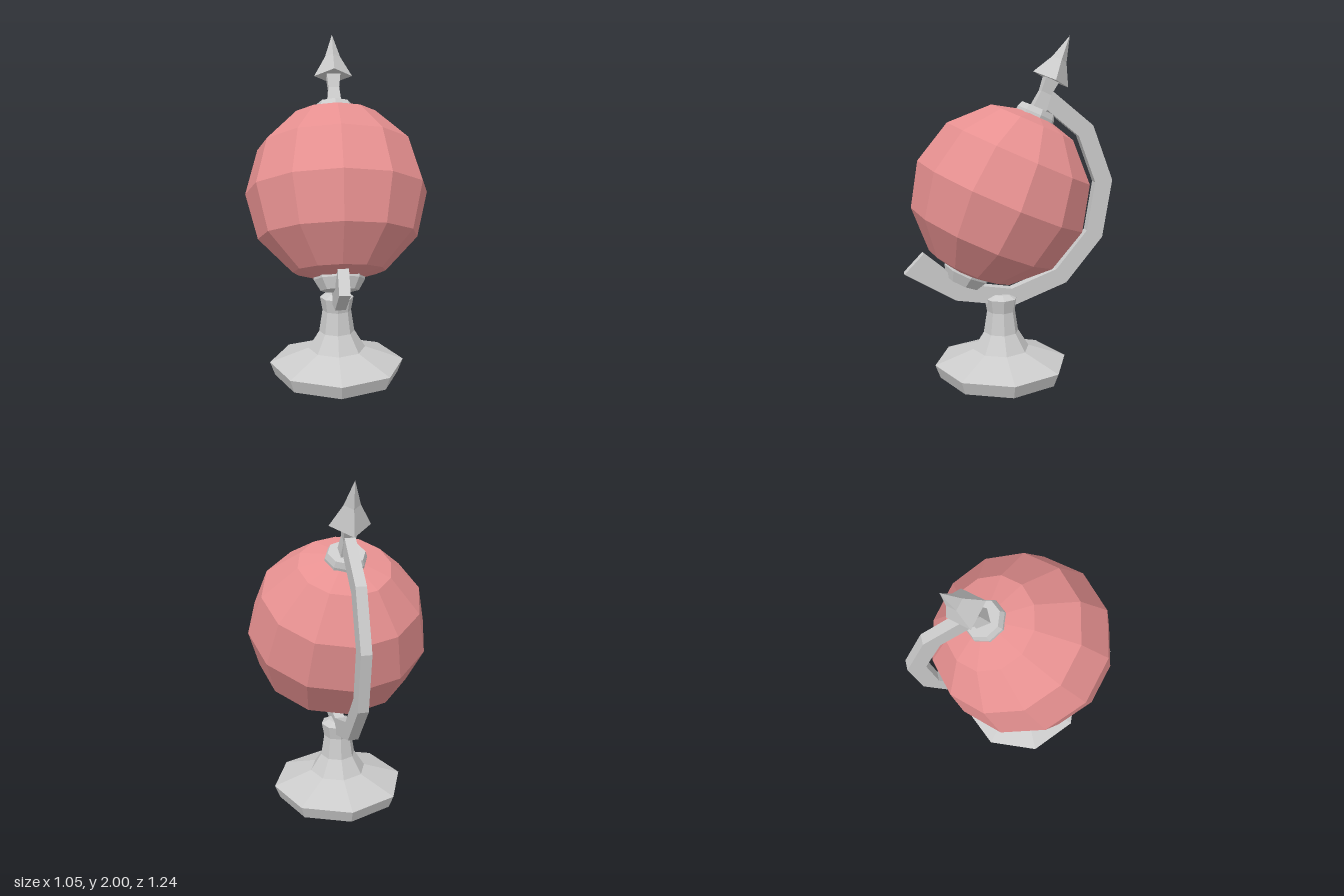
import * as THREE from 'three';

const metal = new THREE.MeshStandardMaterial({ color: 0xcccccc, flatShading: true });
const pink = new THREE.MeshStandardMaterial({ color: 0xe69090, flatShading: true });

const CENTER = { y: 1.1, z: 0.05 };
const TILT = THREE.MathUtils.degToRad(24);

// Faceted turned part: profile of [radius, height] from bottom to top
function turned(name, profile, sides, spin = 0) {
  const geo = new THREE.LatheGeometry(profile.map(([r, y]) => new THREE.Vector2(r, y)), sides);
  geo.rotateY(spin);
  const mesh = new THREE.Mesh(geo, metal);
  mesh.name = name;
  return mesh;
}

// Point on a circle around the globe centre, as (z, y); angle from the back, in degrees
function arcPoint(radius, degrees) {
  const a = THREE.MathUtils.degToRad(degrees);
  return new THREE.Vector2(CENTER.z - radius * Math.cos(a), CENTER.y + radius * Math.sin(a));
}

// Curved arm carrying both ends of the axis
function makeArm() {
  const outer = [], inner = [];
  for (let deg = 66; deg >= -114; deg -= 30) {
    outer.push(arcPoint(0.673, deg));
    inner.push(arcPoint(0.567, deg));
  }
  outer.push(new THREE.Vector2(0.62, 0.66));
  inner.push(new THREE.Vector2(0.51, 0.775));
  const shape = new THREE.Shape([...outer, ...inner.reverse()]);
  const geo = new THREE.ExtrudeGeometry(shape, { depth: 0.06, bevelEnabled: false });
  geo.translate(0, 0, -0.03).rotateY(-Math.PI / 2);
  const mesh = new THREE.Mesh(geo, metal);
  mesh.name = 'arm';
  return mesh;
}

export function createModel() {
  const model = new THREE.Group();
  model.name = 'globe';

  // Octagonal foot and column
  const stand = turned('stand', [
    [0, 0], [0.37, 0], [0.4, 0.08], [0.17, 0.165], [0.105, 0.27],
    [0.085, 0.4], [0.1, 0.48], [0.055, 0.503], [0, 0.503],
  ], 8);
  stand.position.z = CENTER.z;
  model.add(stand, makeArm());

  // Everything on the tilted axis
  const axis = new THREE.Group();
  axis.name = 'tiltedAxis';
  axis.position.set(0, CENTER.y, CENTER.z);
  axis.rotation.x = -TILT;
  model.add(axis);

  const ball = new THREE.Mesh(new THREE.SphereGeometry(0.525, 12, 6), pink);
  ball.name = 'ball';
  axis.add(ball);

  axis.add(
    turned('topCollar', [[0.118, 0.46], [0.118, 0.51], [0.105, 0.543], [0, 0.543]], 8),
    turned('bottomCollar', [[0, -0.562], [0.108, -0.562], [0.145, -0.5], [0.145, -0.44]], 8),
    // Square neck, half widths scaled to corner radii
    turned('neck', [[0.06, 0.53], [0.045, 0.64], [0.06, 0.74]], 4, Math.PI / 4),
    // Four-sided spear tip
    turned('spearTip', [[0, 0.722], [0.114, 0.722], [0.046, 0.845], [0, 0.99]], 4),
  );
  return model;
}
